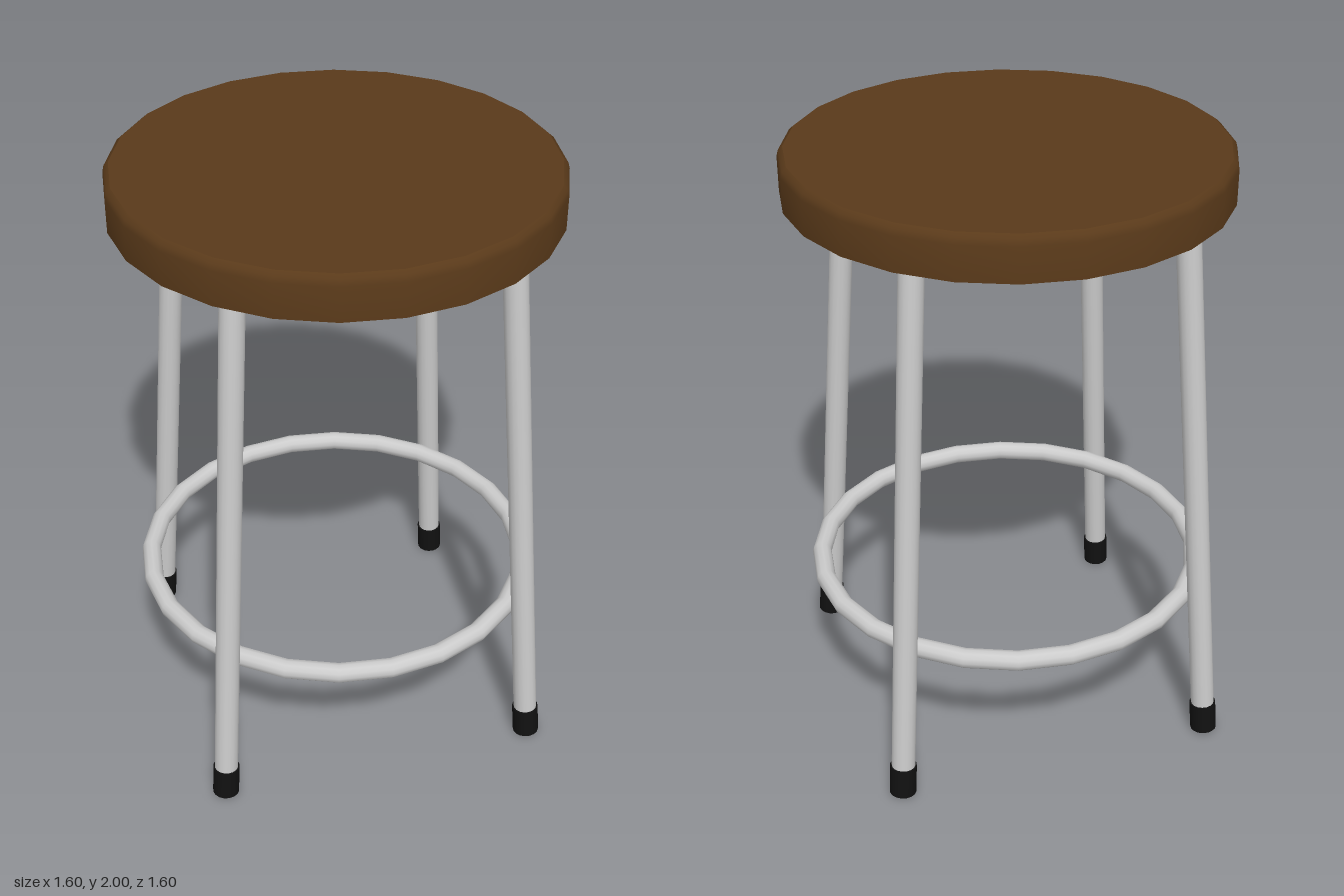
import * as THREE from 'three';
import { toCreasedNormals } from 'three/addons/utils/BufferGeometryUtils.js';

const wood = new THREE.MeshStandardMaterial({ color: 0x5a3a1a });
const metal = new THREE.MeshStandardMaterial({ color: 0xcccccc });
const rubber = new THREE.MeshStandardMaterial({ color: 0x111111 });

function part(name, geometry, material) {
  const mesh = new THREE.Mesh(geometry, material);
  mesh.name = name;
  return mesh;
}

// Round seat: softened top edge, hollow underside with a thin rim
function createSeat() {
  const profile = [
    [0, 1.93], [0.68, 1.93], [0.68, 1.857], [0.705, 1.857],
    [0.705, 1.968], [0.7, 1.988], [0.686, 2], [0, 2],
  ].map(([r, y]) => new THREE.Vector2(r, y));
  return part('seat', toCreasedNormals(new THREE.LatheGeometry(profile, 24), 0.7), wood);
}

// Straight cylinder between two points
function rod(name, from, to, radius, material) {
  const dir = to.clone().sub(from);
  const mesh = part(name, new THREE.CylinderGeometry(radius, radius, dir.length(), 16), material);
  mesh.position.copy(from).add(to).multiplyScalar(0.5);
  mesh.quaternion.setFromUnitVectors(new THREE.Vector3(0, 1, 0), dir.normalize());
  return mesh;
}

// Splayed leg with a rubber cap on its foot
function createLeg() {
  const leg = new THREE.Group();
  const foot = new THREE.Vector3(0.757, 0.004, 0);
  const top = new THREE.Vector3(0.591, 1.935, 0);
  const capTop = foot.clone().lerp(top, 0.054);
  const tubeStart = foot.clone().lerp(top, 0.01);
  leg.add(rod('legTube', tubeStart, top, 0.039, metal));
  leg.add(rod('footCap', foot, capTop, 0.044, rubber));
  return leg;
}

export function createModel() {
  const stool = new THREE.Group();
  stool.name = 'stool';
  stool.add(createSeat());

  ['leftLeg', 'backLeg', 'rightLeg', 'frontLeg'].forEach((name, i) => {
    const leg = createLeg();
    leg.name = name;
    leg.rotation.y = (i * Math.PI) / 2;
    stool.add(leg);
  });

  // Foot ring inside the legs
  const ring = part('footRing', new THREE.TorusGeometry(0.645, 0.032, 12, 24), metal);
  ring.rotation.x = Math.PI / 2;
  ring.position.y = 0.518;
  stool.add(ring);

  return stool;
}
